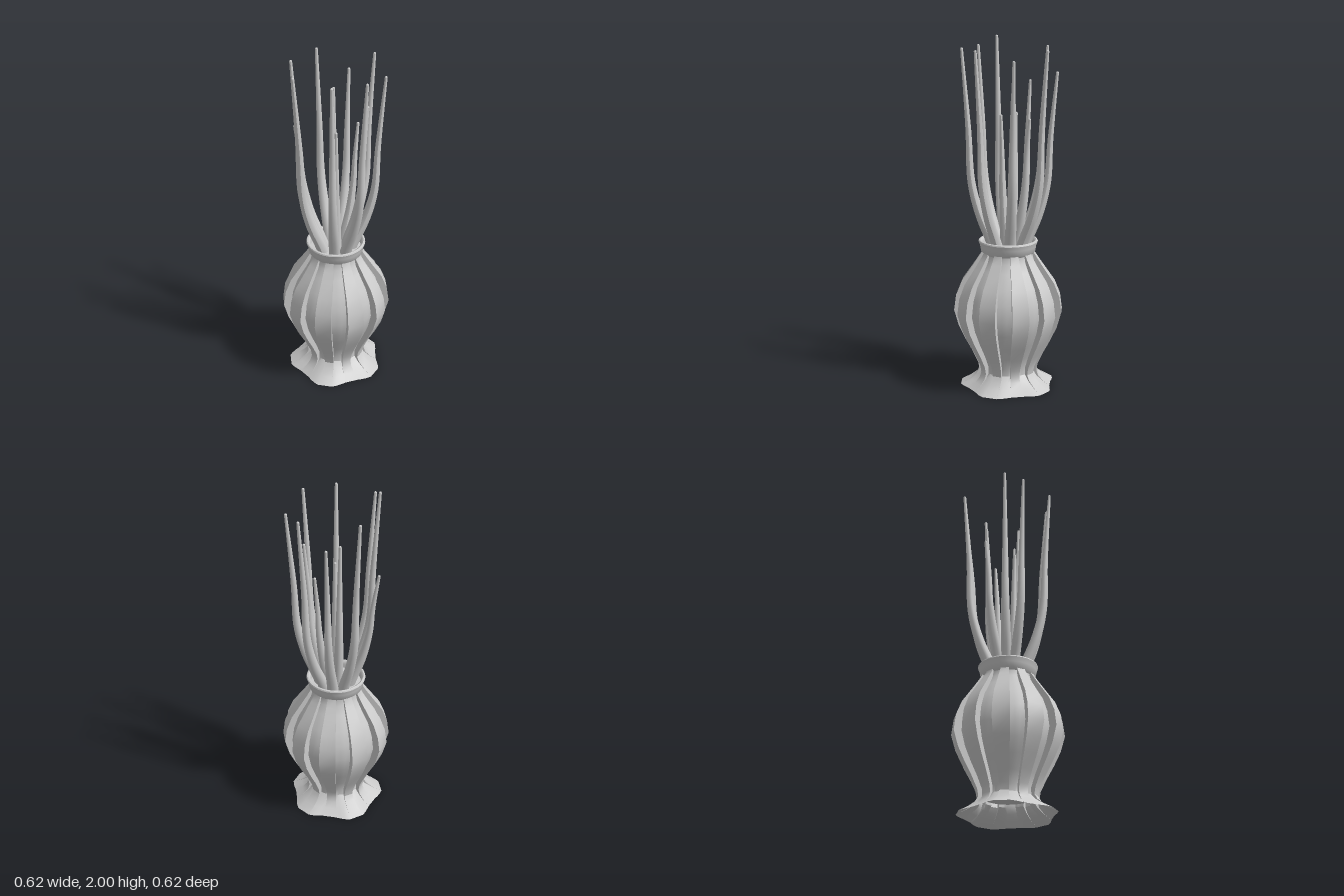
import * as THREE from 'three';
import { toCreasedNormals } from 'three/addons/utils/BufferGeometryUtils.js';

const grey = new THREE.MeshStandardMaterial({ color: 0xcccccc, side: THREE.DoubleSide });
const RIBS = 10;

function part(name, geometry) {
  const mesh = new THREE.Mesh(geometry, grey);
  mesh.name = name;
  return mesh;
}

// Ribbed wall: height, radius on the ribs, radius in the grooves
const PROFILE = [
  [0, 0.262, 0.262], [0.03, 0.215, 0.212], [0.06, 0.182, 0.172], [0.09, 0.168, 0.148],
  [0.13, 0.175, 0.148], [0.2, 0.207, 0.175], [0.28, 0.25, 0.213], [0.36, 0.287, 0.246],
  [0.45, 0.312, 0.268], [0.54, 0.3, 0.256], [0.62, 0.268, 0.228], [0.7, 0.212, 0.178],
  [0.75, 0.178, 0.15], [0.79, 0.152, 0.14], [0.82, 0.15, 0.145],
];

function wallGeometry() {
  // Each period holds one flat rib followed by one recessed groove
  const columns = [];
  for (let i = 0; i < RIBS; i++) {
    for (const [deg, rib] of [[0, 1], [18, 1], [18, 0], [24, 0], [30, 0], [36, 0]]) {
      columns.push([THREE.MathUtils.degToRad(i * 36 + deg), rib]);
    }
  }
  const n = columns.length;
  const positions = [], index = [];
  for (const [y, ribRadius, grooveRadius] of PROFILE) {
    const flare = Math.max(0, 1 - y / 0.08);
    for (const [a, rib] of columns) {
      // The skirt spreads into five soft lobes
      const lobe = 0.022 * flare * Math.cos(5 * (a - THREE.MathUtils.degToRad(262)));
      const r = (rib ? ribRadius : grooveRadius) + lobe;
      positions.push(r * Math.sin(a), y, -r * Math.cos(a));
    }
  }
  for (let j = 0; j < PROFILE.length - 1; j++) {
    for (let i = 0; i < n; i++) {
      const a = j * n + i, b = j * n + (i + 1) % n;
      index.push(a, a + n, b, b, a + n, b + n);
    }
  }
  const geometry = new THREE.BufferGeometry();
  geometry.setAttribute('position', new THREE.Float32BufferAttribute(positions, 3));
  geometry.setIndex(index);
  return toCreasedNormals(geometry, 0.6);
}

function lathe(points) {
  const geometry = new THREE.LatheGeometry(points.map(([r, y]) => new THREE.Vector2(r, y)), 40);
  return toCreasedNormals(geometry, 0.7);
}

// Tapered stem that leaves the neck outward and then bends upright
function stem(x, height, z) {
  const group = new THREE.Group();
  group.name = 'stem';
  const at = (f, y) => new THREE.Vector3(x * f, y, z * f);
  const curve = new THREE.CatmullRomCurve3([
    at(0.3, 0.8), at(0.42, 0.88), at(0.64, 1.02), at(0.81, 1.2),
    at(0.87, 1.2 + (height - 1.2) * 0.4), at(1, height - 0.008),
  ]);
  const rings = 28, sides = 10;
  const geometry = new THREE.TubeGeometry(curve, rings, 1, sides);
  const pos = geometry.attributes.position;
  const v = new THREE.Vector3();
  for (let i = 0; i <= rings; i++) {
    const t = i / rings;
    const centre = curve.getPointAt(t);
    const radius = THREE.MathUtils.lerp(0.034, 0.008, Math.pow(t, 0.85));
    for (let j = 0; j <= sides; j++) {
      const k = i * (sides + 1) + j;
      v.fromBufferAttribute(pos, k).sub(centre).multiplyScalar(radius).add(centre);
      pos.setXYZ(k, v.x, v.y, v.z);
    }
  }
  geometry.computeVertexNormals();
  const tip = part('stemTip', new THREE.SphereGeometry(0.008, 10, 8));
  tip.position.copy(curve.getPointAt(1));
  group.add(part('stemShaft', geometry), tip);
  return group;
}

export function createModel() {
  const model = new THREE.Group();
  model.name = 'vaseWithStems';

  // Vase
  model.add(part('ribbedWall', wallGeometry()));
  model.add(part('rim', lathe([
    [0.14, 0.785], [0.155, 0.8], [0.16, 0.83], [0.169, 0.856], [0.166, 0.863],
    [0.158, 0.865], [0.15, 0.86], [0.145, 0.845], [0.143, 0.8],
  ])));
  const filling = part('filling', new THREE.CylinderGeometry(0.145, 0.145, 0.02, 40));
  filling.position.y = 0.81;
  const floor = part('vaseFloor', new THREE.CylinderGeometry(0.147, 0.147, 0.01, 40));
  floor.position.y = 0.11;
  model.add(filling, floor);

  // Stems, each given by the position of its tip
  const tips = [
    [-0.125, 1.95, -0.232], [0.05, 1.82, -0.268], [0.193, 1.95, -0.198],
    [0.113, 1.57, -0.11], [0.265, 1.9, -0.01], [0.172, 1.72, -0.01],
    [0.178, 1.95, 0.19], [0, 1.95, 0.256], [0.005, 1.58, 0.04],
    [-0.21, 1.95, 0.153], [-0.232, 2, 0.047], [-0.232, 1.56, -0.065],
    [-0.023, 1.77, -0.125],
  ];
  for (const tip of tips) model.add(stem(...tip));
  return model;
}
